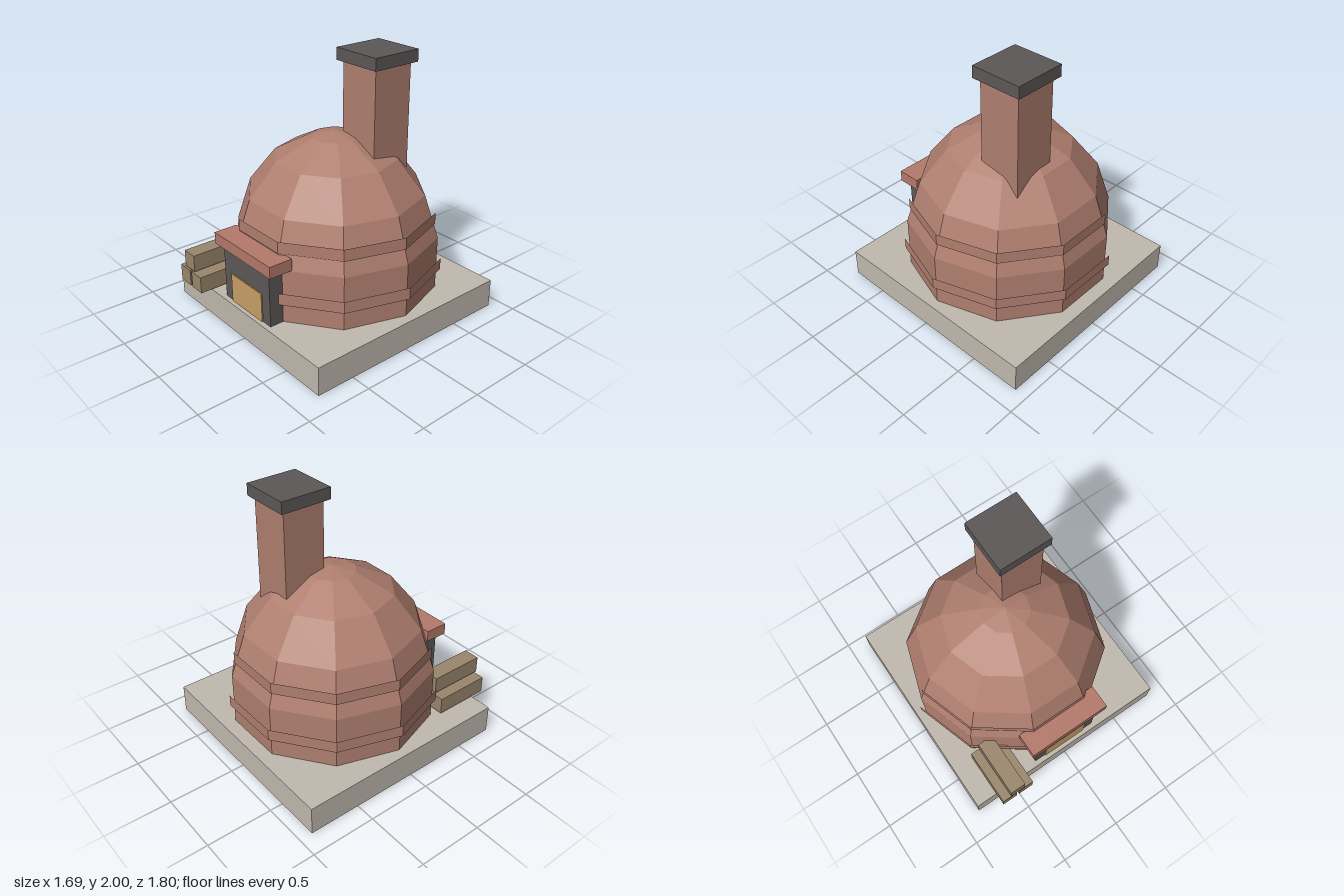
import * as THREE from 'three';

const mat = (name, color, flatShading = false) => {
  const m = new THREE.MeshStandardMaterial({ color, flatShading });
  m.name = name;
  return m;
};

export function createModel() {
  const brick = mat('brick', 0xb07f70, true);
  const redBrick = mat('redBrick', 0xb4796a);
  const stone = mat('stone', 0xc0b9ae);
  const iron = mat('iron', 0x5d5858);
  const ember = mat('ember', 0xc89f66);
  const wood = mat('wood', 0x9a866c);

  const oven = new THREE.Group();
  oven.name = 'brickOven';

  const add = (name, geometry, material, x, y, z) => {
    const mesh = new THREE.Mesh(geometry, material);
    mesh.name = name;
    mesh.position.set(x, y, z);
    oven.add(mesh);
  };
  // Box given by its lower and upper limits on each axis
  const box = (name, material, [x0, x1], [y0, y1], [z0, z1]) =>
    add(name, new THREE.BoxGeometry(x1 - x0, y1 - y0, z1 - z0), material,
      (x0 + x1) / 2, (y0 + y1) / 2, (z0 + z1) / 2);

  // Stone slab
  box('baseSlab', stone, [-0.845, 0.845], [0, 0.22], [-0.9, 0.8]);

  // Ten-sided dome, with a corner on each side (+x and -x)
  const sides = 10, domeZ = -0.06;
  const profile = [
    [0.773, 0.22], [0.773, 0.63], [0.664, 0.96],
    [0.46, 1.22], [0.18, 1.365], [0, 1.4],
  ].map(([r, y]) => new THREE.Vector2(r, y));
  add('dome', new THREE.LatheGeometry(profile, sides, Math.PI / 2), brick, 0, 0, domeZ);

  // Open brick bands wrapped round the dome
  for (const [name, r, y] of [['lowerBand', 0.803, 0.415], ['upperBand', 0.747, 0.785]]) {
    add(name, new THREE.CylinderGeometry(r, r, 0.09, sides, 1, true, Math.PI / 2), brick, 0, y, domeZ);
  }

  // Chimney, sunk into the dome, and its cap
  box('chimney', brick, [0.015, 0.345], [1.0, 1.91], [-0.445, -0.115]);
  box('chimneyCap', iron, [-0.02, 0.38], [1.91, 2], [-0.48, -0.08]);

  // Oven mouth
  box('mouthFrame', iron, [-0.273, 0.273], [0.22, 0.64], [0.5, 0.76]);
  box('mouthGlow', ember, [-0.183, 0.183], [0.22, 0.445], [0.76, 0.768]);
  box('lintel', redBrick, [-0.333, 0.333], [0.64, 0.73], [0.61, 0.795]);

  // Stack of three logs
  for (const [x, y] of [[-0.61, 0.295], [-0.463, 0.295], [-0.538, 0.445]]) {
    box('log', wood, [x - 0.063, x + 0.063], [y - 0.065, y + 0.065], [0.455, 0.9]);
  }

  return oven;
}
